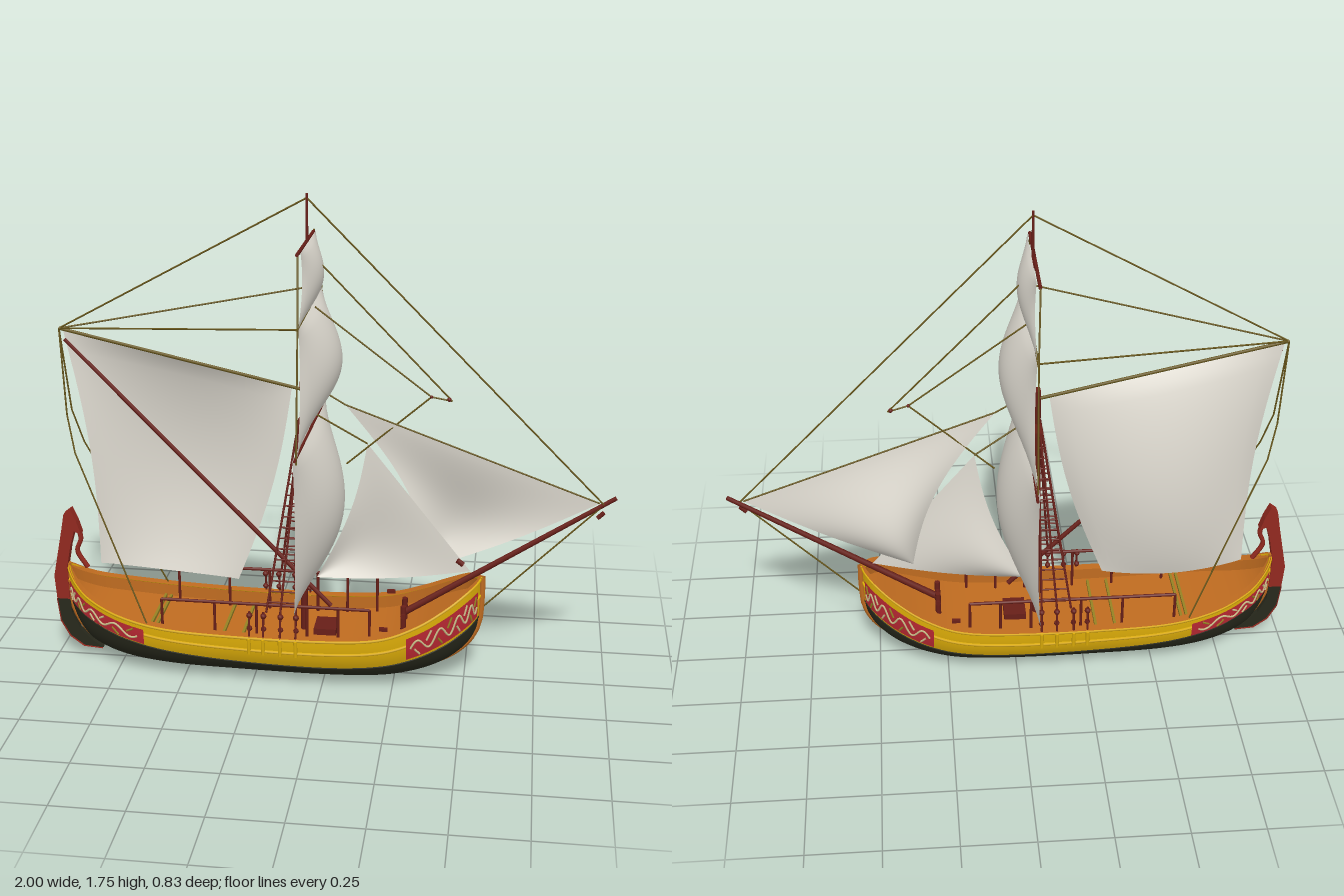
import * as THREE from 'three';

const V = (x, y, z) => new THREE.Vector3(x, y, z);
const mat = (name, color, side = THREE.FrontSide) => {
  const m = new THREE.MeshStandardMaterial({ color, side });
  m.name = name;
  return m;
};
const M = {
  yellow: mat('yellow paint', 0xdcac08, THREE.DoubleSide),
  black: mat('black tar', 0x28291c, THREE.DoubleSide),
  wood: mat('deck wood', 0xc06c20, THREE.DoubleSide),
  dark: mat('dark red wood', 0x681f18),
  red: mat('rudder red', 0x92291f, THREE.DoubleSide),
  panel: mat('panel red', 0xb82832, THREE.DoubleSide),
  cream: mat('cream ornament', 0xcbbd88),
  sail: mat('sailcloth', 0xdedad0, THREE.DoubleSide),
  rope: mat('rope', 0x66551a),
  olive: mat('olive beams', 0x968224),
};

// Hull stations: x, half beam, keel height, top of the black bottom, sheer height
const STATIONS = [
  [-0.945, 0, 0.25, 0.255, 0.36], [-0.935, 0.026, 0.2, 0.235, 0.345], [-0.9, 0.065, 0.125, 0.215, 0.31],
  [-0.84, 0.108, 0.07, 0.19, 0.275], [-0.72, 0.158, 0.035, 0.155, 0.24], [-0.55, 0.187, 0.02, 0.125, 0.215],
  [-0.3, 0.192, 0.014, 0.1, 0.205], [0, 0.192, 0.012, 0.09, 0.205], [0.2, 0.186, 0.02, 0.105, 0.22],
  [0.33, 0.165, 0.042, 0.135, 0.265], [0.43, 0.127, 0.08, 0.175, 0.32], [0.5, 0.08, 0.135, 0.215, 0.365],
  [0.535, 0.036, 0.19, 0.24, 0.385], [0.55, 0, 0.24, 0.255, 0.395],
];
const lowCurve = new THREE.CatmullRomCurve3(STATIONS.map(s => V(s[0], s[1], s[2])), false, 'catmullrom', 0.5);
const highCurve = new THREE.CatmullRomCurve3(STATIONS.map(s => V(s[0], s[3], s[4])), false, 'catmullrom', 0.5);

function station(u) {
  const a = lowCurve.getPoint(u), b = highCurve.getPoint(u);
  return { x: a.x, w: Math.max(a.y, 0), keel: a.z, black: b.y, sheer: b.z };
}
function uAt(x) {
  let lo = 0, hi = 1;
  for (let i = 0; i < 30; i++) {
    const m = (lo + hi) / 2;
    if (lowCurve.getPoint(m).x < x) lo = m; else hi = m;
  }
  return lo;
}
// Point on the hull side; t runs from keel (0) to sheer (1)
function skin(u, t, side) {
  const s = station(u), c = THREE.MathUtils.clamp(t, 0, 1);
  return V(s.x, s.keel + (s.sheer - s.keel) * t, side * s.w * Math.pow(1 - Math.pow(1 - c, 2.6), 0.45));
}
// Point on the painted topsides; f runs from the black line (0) to the sheer (1)
function topside(u, f, side, off = 0) {
  const c = THREE.MathUtils.clamp(u, 0.004, 0.996), s = station(c);
  const t = (s.black + (s.sheer - s.black) * f - s.keel) / (s.sheer - s.keel);
  const p = skin(u, t, side);
  if (!off) return p;
  const q = skin(c, t, side);
  const n = skin(c + 0.003, t, side).sub(q).cross(skin(c, t - 0.02, side).sub(q)).normalize();
  if (n.z * side < 0) n.negate();
  return p.addScaledVector(n, off);
}

// Smooth surface from a point function of (u, v)
function grid(fn, nu, nv) {
  const pos = [], idx = [];
  for (let i = 0; i <= nu; i++) for (let j = 0; j <= nv; j++) pos.push(...fn(i / nu, j / nv).toArray());
  for (let i = 0; i < nu; i++) for (let j = 0; j < nv; j++) {
    const a = i * (nv + 1) + j, b = a + nv + 1;
    idx.push(a, b, a + 1, b, b + 1, a + 1);
  }
  const g = new THREE.BufferGeometry();
  g.setAttribute('position', new THREE.Float32BufferAttribute(pos, 3));
  g.setIndex(idx);
  g.computeVertexNormals();
  return g;
}

export function createModel() {
  const ship = new THREE.Group();
  ship.name = 'sailingShip';
  const add = (name, geo, m) => {
    const mesh = new THREE.Mesh(geo, m);
    mesh.name = name;
    ship.add(mesh);
    return mesh;
  };
  const rod = (name, a, b, r, m = M.dark, r2 = r) => {
    const mesh = add(name, new THREE.CylinderGeometry(r2, r, a.distanceTo(b), 8), m);
    mesh.position.copy(a).lerp(b, 0.5);
    mesh.quaternion.setFromUnitVectors(V(0, 1, 0), b.clone().sub(a).normalize());
  };
  const rope = (name, ...pts) => pts.slice(1).forEach((p, i) => rod(name, pts[i], p, 0.003, M.rope));
  const tube = (name, pts, r, m, n = 80) =>
    add(name, new THREE.TubeGeometry(new THREE.CatmullRomCurve3(pts), n, r, 6), m);
  const box = (name, x, y, z, w, h, d, m = M.dark) => add(name, new THREE.BoxGeometry(w, h, d), m).position.set(x, y, z);
  const ball = (name, p, r, m = M.dark) => add(name, new THREE.SphereGeometry(r, 8, 6), m).position.copy(p);
  const line = (n, fn) => Array.from({ length: n + 1 }, (_, i) => fn(i / n));
  const deckY = x => station(uAt(x)).sheer - 0.045;

  // Hull sides, trim and painted panels
  for (const side of [1, -1]) {
    add('hullBottom', grid((u, v) => {
      const s = station(u);
      return skin(u, v * v * (s.black - s.keel) / (s.sheer - s.keel), side);
    }, 70, 12), M.black);
    add('hullTopside', grid((u, v) => topside(u, v, side), 70, 6), M.yellow);
    add('bulwarkLining', grid((u, v) => {
      const s = station(u);
      return V(s.x * 0.99 - 0.002, s.sheer - 0.06 + 0.06 * v, side * Math.max(s.w - 0.014, 0));
    }, 70, 1), M.wood);
    add('capRail', grid((u, v) => {
      const s = station(u);
      return V(s.x, s.sheer + 0.008, side * Math.max(s.w + 0.007 - 0.032 * v, 0));
    }, 70, 1), M.wood);
    tube('gunwale', line(60, u => topside(u, 1, side)), 0.0065, M.yellow, 120);
    tube('wale', line(60, u => topside(0.01 + 0.98 * u, 0.55, side)), 0.006, M.yellow, 120);
    tube('waterlineTrim', line(60, u => topside(0.01 + 0.98 * u, 0, side)), 0.003, M.black, 120);
    for (const [x0, x1] of [[-0.93, -0.63], [0.3, 0.535]]) {
      const u0 = uAt(x0), u1 = uAt(x1), at = u => u0 + (u1 - u0) * u;
      add('paintedPanel', grid((u, v) => topside(at(u), 0.15 + 0.67 * v, side, 0.0075), 24, 4), M.panel);
      // Wavy stem with alternating leaves
      tube('scrollStem', line(60, u =>
        topside(at(0.04 + 0.92 * u), 0.48 + 0.17 * Math.sin(u * 25), side, 0.0075)), 0.004, M.cream, 140);
      for (let i = 0; i < 8; i++) {
        const u = 0.04 + 0.92 * (i + 0.5) * Math.PI / 25, up = i % 2 ? 1 : -1;
        tube('scrollLeaf', [0, 1, 2].map(k =>
          topside(at(u + 0.025 * (k - 1)), 0.48 + up * (0.05 + 0.11 * k), side, 0.0075)), 0.004, i % 4 > 1 ? M.olive : M.cream, 8);
      }
    }
  }
  tube('keel', [...line(60, u => V(station(u).x, station(u).keel, 0)), V(0.555, 0.33, 0), V(0.554, 0.4, 0)], 0.012, M.wood, 140);
  rod('sternpost', V(-0.945, 0.24, 0), V(-0.947, 0.37, 0), 0.011, M.wood);
  add('deck', grid((u, v) => {
    const s = station(u);
    return V(s.x * 0.99, s.sheer - 0.045, (1 - 2 * v) * Math.max(s.w - 0.008, 0));
  }, 70, 6), M.wood);

  // Rudder with carved head, red aft edge and tiller
  const plate = (name, pts, depth, m) => {
    const g = new THREE.ExtrudeGeometry(new THREE.Shape(pts.map(p => new THREE.Vector2(...p))), { depth, bevelEnabled: false });
    add(name, g.translate(0, 0, -depth / 2), m);
  };
  plate('rudderHead', [[-0.992, 0.23], [-0.945, 0.23], [-0.947, 0.36], [-0.932, 0.44], [-0.915, 0.5], [-0.89, 0.49],
    [-0.905, 0.54], [-0.925, 0.585], [-0.95, 0.565], [-0.962, 0.5], [-0.98, 0.41], [-0.998, 0.32]], 0.034, M.red);
  const aftEdge = [[-0.992, 0.23], [-0.982, 0.14], [-0.95, 0.08], [-0.9, 0.042], [-0.83, 0.036]];
  plate('rudderBlade', [...aftEdge, [-0.87, 0.065], [-0.915, 0.11], [-0.942, 0.17], [-0.945, 0.23]], 0.022, M.black);
  add('rudderAftEdge', grid((u, v) => {
    const [x, y] = aftEdge[Math.round(u * 4)];
    return V(x - 0.003, y - 0.003, 0.028 * v - 0.014);
  }, 4, 1), M.red);
  tube('tiller', [V(-0.92, 0.55, 0), V(-0.895, 0.47, 0), V(-0.91, 0.42, 0), V(-0.875, 0.355, 0)], 0.009, M.red, 24);

  // Masts, spars and bowsprit
  rod('lowerMast', V(-0.08, 0.14, 0), V(-0.08, 1.1, 0), 0.013, M.dark, 0.011);
  rod('topmast', V(-0.062, 0.95, 0.015), V(-0.062, 1.75, 0.02), 0.008, M.dark, 0.004);
  box('mastCap', -0.07, 1.09, 0.008, 0.04, 0.02, 0.03);
  box('crosstree', -0.075, 0.965, -0.02, 0.035, 0.015, 0.1);
  rod('bowsprit', V(0.28, 0.245, 0), V(1, 0.72, -0.005), 0.013, M.dark, 0.008);
  rod('sprit', V(0.02, 0.27, 0.03), V(-0.91, 1.22, 0.01), 0.009, M.dark, 0.007);
  rod('mainYard', V(-0.05, 0.962, 0.415), V(-0.045, 0.925, -0.415), 0.005);
  rod('topsailYard', V(-0.055, 1.368, 0.31), V(-0.055, 1.358, -0.29), 0.004, M.rope);
  rod('topgallantYard', V(-0.068, 1.588, 0.21), V(-0.068, 1.578, -0.185), 0.006);

  // Sails: four corners plus a shaping offset; square sails run from +z to -z
  const S = Math.sin, PI = Math.PI;
  const sail = (name, a, b, c, d, shape) => add(name, grid((u, v) =>
    a.clone().lerp(b, u).lerp(d.clone().lerp(c, u), v).add(shape(u, v)), 24, 24), M.sail);
  const square = (name, a, b, c, d, belly, sideBow, arch) => sail(name, a, b, c, d, (u, v) => V(
    belly * Math.pow(Math.max(S(PI * v), 0), 0.75) * (0.08 + 0.92 * Math.pow(Math.max(S(PI * u), 0), 0.85)),
    arch * Math.pow(Math.max(S(PI * u), 0), 0.8) * v * v, sideBow * S(PI * v) * (1 - 2 * u)));
  square('mainSquareSail', V(-0.06, 0.955, 0.395), V(-0.055, 0.925, -0.395), V(-0.07, 0.315, -0.315), V(-0.07, 0.365, 0.32), 0.125, 0.02, 0.03);
  square('topsail', V(-0.052, 1.367, 0.298), V(-0.052, 1.36, -0.283), V(-0.045, 0.935, -0.395), V(-0.045, 0.965, 0.395), 0.1, -0.004, 0.06);
  square('topgallantSail', V(-0.058, 1.592, 0.195), V(-0.058, 1.585, -0.165), V(-0.052, 1.365, -0.283), V(-0.052, 1.37, 0.298), 0.045, -0.035, 0.004);
  const peak = V(-0.93, 1.255, 0), throat = V(-0.09, 1.07, 0);
  sail('spritsail', V(-0.915, 1.245, 0), V(-0.12, 1.075, -0.01), V(-0.32, 0.335, -0.01), V(-0.83, 0.365, -0.02),
    (u, v) => V(0.028 * S(PI * v), -0.012 * S(PI * u) * v, -0.09 * Math.pow(Math.max(S(PI * u), 0), 0.8) * Math.pow(S(PI * 0.93 * v), 0.7)));
  const jib = (name, head, tack, clew, belly, hollow) => sail(name, head, tack, clew, clew, (u, v) =>
    V(hollow * S(PI * v) * (1 - u), -0.015 * u * S(PI * v), belly * S(PI * Math.pow(v, 1.5)) * (0.2 * (1 - u) + S(PI * u))));
  jib('outerJib', V(0.065, 1.02, 0), V(0.945, 0.7, 0), V(0.365, 0.415, -0.025), -0.055, 0.06);
  jib('innerStaysail', V(0.14, 0.87, -0.03), V(0.51, 0.415, -0.01), V(-0.04, 0.345, -0.04), -0.035, 0.03);

  // Standing and running rigging
  const truck = V(-0.062, 1.735, 0.02), spritEnd = V(0.96, 0.695, 0), fork = V(0.36, 1.06, 0);
  rope('forestay', truck, spritEnd);
  rope('peakStay', truck, peak);
  rod('headRope', peak, throat, 0.006, M.rope);
  rope('jibHalyard', V(-0.07, 1.1, 0), V(0.065, 1.02, 0), V(0.945, 0.7, 0));
  rope('staysailHalyard', V(-0.07, 1.0, 0), V(0.14, 0.87, -0.03));
  rope('topsailBowline', V(-0.04, 1.36, -0.01), fork, V(0.07, 0.8, -0.01));
  rope('topgallantBowline', V(-0.04, 1.53, -0.01), V(0.43, 1.045, -0.01), fork);
  ball('block', V(0.42, 1.05, -0.01), 0.008);
  ball('block', fork, 0.006);
  rope('bobstay', spritEnd, V(0.555, 0.28, 0));
  rod('bowspritBlock', V(0.94, 0.65, 0.01), V(0.96, 0.67, 0.01), 0.008);
  for (const s of [1, -1]) {
    rope('brace', peak, V(-0.06, 1.363, s * 0.285));
    rope('vang', peak, V(-0.91, 0.95, s * 0.03), V(-0.88, 0.82, s * 0.06), V(-0.62, 0.23, s * 0.175));
    rope('lift', V(-0.068, 1.583, s * 0.195), V(-0.055, 1.363, s * 0.295), V(-0.047, 0.945, s * 0.4));
  }

  // Shrouds with ratlines, deadeyes and chainplates on both sides
  for (const s of [1, -1]) {
    const foot = x => V(x, 0.3, s * 0.175), head = x => V(-0.08 + (x + 0.08) * 0.1, 0.97, s * 0.025);
    for (const x of [-0.19, -0.14, -0.085]) rod('shroud', foot(x), head(x), 0.004);
    for (let i = 1; i < 17; i++)
      rod('ratline', foot(-0.19).lerp(head(-0.19), i / 18), foot(-0.085).lerp(head(-0.085), i / 18), 0.003);
    for (const x of [-0.25, -0.2, -0.14, -0.085]) {
      const u = uAt(x);
      rod('chainplate', topside(u, 0.45, s, 0.004), topside(u, 1, s, 0.004), 0.007, M.yellow);
      rod('lanyard', topside(u, 1, s), foot(x), 0.004);
      ball('deadeye', foot(x).setY(0.285), 0.011);
      ball('deadeye', foot(x).setY(0.235), 0.01);
    }
    // Deck railing
    const z = s * 0.145;
    rod('railing', V(-0.57, 0.315, z), V(0.17, 0.315, z), 0.006);
    for (const x of [-0.57, -0.38, -0.23, -0.05, 0.06, 0.17]) rod('railPost', V(x, deckY(x), z), V(x, 0.315, z), 0.005);
    // Bow bitts and cleats
    rod('bitt', V(0.28, 0.19, s * 0.035), V(0.28, 0.285, s * 0.035), 0.01);
    box('cleat', 0.22, 0.25, s * 0.155, 0.03, 0.012, 0.012);
  }
  rod('bowBlock', V(0.465, 0.465, 0.015), V(0.485, 0.45, 0.015), 0.01);

  // Deck fittings
  for (const x of [-0.625, -0.605, -0.36, -0.29]) box('deckBeam', x, deckY(x) + 0.006, 0, 0.009, 0.012, 0.31, M.olive);
  rod('windlass', V(0.28, 0.25, -0.05), V(0.28, 0.25, 0.05), 0.01);
  box('hatch', 0, deckY(0) + 0.012, 0, 0.08, 0.024, 0.1);
  return ship;
}
